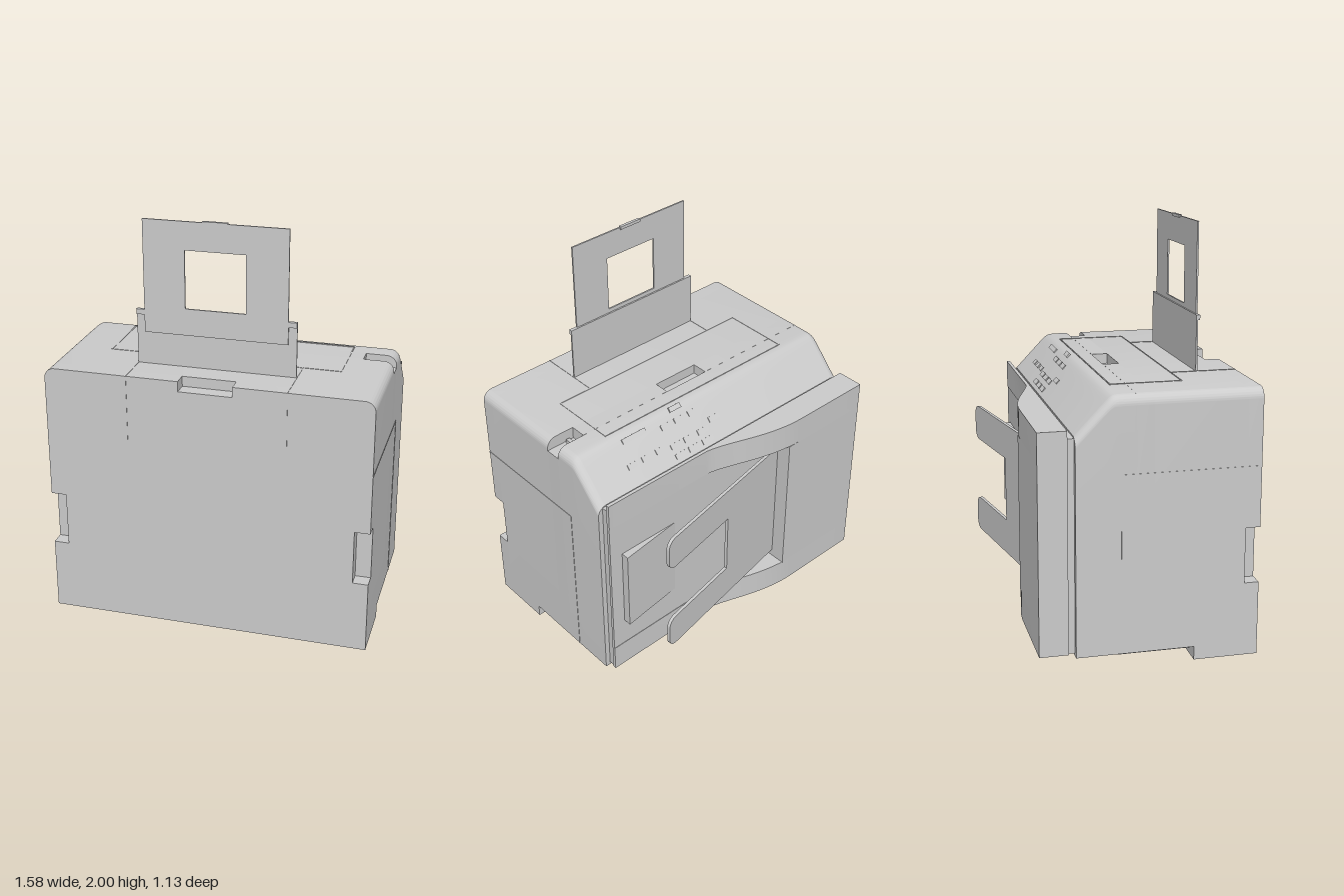
import * as THREE from 'three';
import { toCreasedNormals } from 'three/addons/utils/BufferGeometryUtils.js';

const grey = new THREE.MeshStandardMaterial({ color: 0xcccccc });
const W = 0.79, H = 1.29, R = 0.05;

export function createModel() {
  const model = new THREE.Group();

  const add = (name, geo, parent = model) => {
    const mesh = new THREE.Mesh(geo, grey);
    mesh.name = name;
    parent.add(mesh);
    return mesh;
  };
  // Box given by its limits on each axis
  const box = (name, x0, x1, y0, y1, z0, z1) => {
    const g = new THREE.BoxGeometry(x1 - x0, y1 - y0, z1 - z0);
    g.translate((x0 + x1) / 2, (y0 + y1) / 2, (z0 + z1) / 2);
    return add(name, g);
  };
  const polygon = pts => new THREE.Shape(pts.map(p => new THREE.Vector2(...p)));
  const extrude = (shape, depth, steps = 1) =>
    new THREE.ExtrudeGeometry(shape, { depth, steps, bevelEnabled: false, curveSegments: 16 });
  // Plan shape in (x, -z) raised from y0 to y1
  const raise = (name, shape, y0, y1) => {
    const g = extrude(shape, y1 - y0).rotateX(-Math.PI / 2).translate(0, y0, 0);
    return add(name, toCreasedNormals(g, 0.5));
  };

  // Front outline of the housing, with optional top pocket, corner notch and side grips
  const outline = ({ pocket = 0, portNotch = false, grips = false } = {}) => {
    const s = new THREE.Shape();
    const grip = [[W, 0.36], [0.715, 0.36], [0.715, 0.63], [W, 0.63]];
    s.moveTo(-W, 0.065);
    s.lineTo(W, 0.065);
    if (grips) grip.forEach(([x, y]) => s.lineTo(x, y));
    if (portNotch) {
      s.lineTo(W, 1.23);
      s.lineTo(0.64, 1.23);
      s.lineTo(0.64, H);
    } else {
      s.lineTo(W, H - R);
      s.absarc(W - R, H - R, R, 0, Math.PI / 2);
    }
    if (pocket) [[pocket, H], [pocket, 1.24], [-pocket, 1.24], [-pocket, H]].forEach(([x, y]) => s.lineTo(x, y));
    s.lineTo(R - W, H);
    s.absarc(R - W, H - R, R, Math.PI / 2, Math.PI);
    if (grips) [...grip].reverse().forEach(([x, y]) => s.lineTo(-x, y));
    s.closePath();
    return s;
  };

  // Housing in slices from front to back
  const slices = [
    ['housingFront', 0.49, 0.56, { pocket: 0.13, grips: true }],
    ['housingMiddle', 0.05, 0.49, {}],
    ['housingPocketSlice', -0.03, 0.05, { pocket: 0.125, portNotch: true }]
  ];
  for (const [name, z0, z1, opts] of slices) {
    add(name, toCreasedNormals(extrude(outline(opts), z1 - z0).translate(0, 0, z0), 0.6));
  }

  // Rear slice: the top edge bends down into the sloped control panel
  const rear = extrude(outline(), 0.282, 24).translate(0, 0, -0.312);
  const p = rear.attributes.position;
  for (let i = 0; i < p.count; i++) {
    const d = -0.14 - p.getZ(i);
    if (p.getY(i) > 1) p.setY(i, p.getY(i) - 0.53 * (d + Math.hypot(d, 0.015)));
  }
  add('housingRear', toCreasedNormals(rear, 0.5));

  // Underside
  box('baseStep', -W, W, 0, 0.065, 0.25, 0.56);
  box('basePanel', -0.72, 0.72, 0.03, 0.07, -0.1, 0.25);
  box('portSocket', 0.67, 0.69, 1.225, 1.25, 0, 0.04);

  // Thin seams around the covers
  const t = 0.002, e = 0.006;
  for (const s of [-1, 1]) {
    const side = s * W;
    box('sideCoverTopSeam', side - t, side + t, 0.92, 0.92 + e, -0.1, 0.56);
    box('sideCoverRearSeam', side - t, side + t, 0.066, 0.92, -0.1, -0.1 + e);
    box('frontSeam', s * 0.385 - 0.003, s * 0.385 + 0.003, 0.92, H, 0.56 - t, 0.56 + t);
    box('topSeam', s * 0.385 - 0.003, s * 0.385 + 0.003, H - t, H + t, 0.24, 0.56);
    box('topPanelSideSeam', s * 0.568 - 0.003, s * 0.568 + 0.003, H - t, H + t, -0.105, 0.24);
  }
  for (const z of [-0.105, 0.235]) box('topPanelSeam', -0.57, 0.57, H - t, H + t, z, z + e);

  // Raised paper support and its framed extension
  box('paperSupport', -0.385, 0.385, 1.28, 1.56, 0.362, 0.37);
  for (const s of [-1, 1]) box('supportTab', s * 0.365 - 0.02, s * 0.365 + 0.02, 1.535, 1.56, 0.362, 0.38);
  const frame = polygon([[-0.345, 1.45], [0.345, 1.45], [0.345, 1.995], [-0.345, 1.995]]);
  frame.holes.push(polygon([[-0.145, 1.58], [-0.145, 1.86], [0.145, 1.86], [0.145, 1.58]]));
  add('supportExtension', extrude(frame, 0.008).translate(0, 0, 0.371));
  box('extensionLip', -0.06, 0.06, 1.985, 2, 0.365, 0.38);

  // Buttons on the slope, as [x, z, width]
  const buttons = [[0.005, -0.235, 0.07], [0.18, -0.145, 0.07], [0.45, -0.165, 0.14]];
  for (const z of [-0.29, -0.255, -0.185]) for (const x of [0.095, 0.182, 0.265]) buttons.push([x, z, 0.07]);
  for (const x of [0.36, 0.445, 0.53]) buttons.push([x, -0.245, 0.05]);
  for (const [x, z, w] of buttons) {
    const b = add('button', new THREE.BoxGeometry(w, 0.008, 0.025));
    b.position.set(x, H - 1.06 * (-0.14 - z), z);
    b.rotation.x = -0.81;
  }

  // Scanner neck and lid with a recessed sheet pocket
  box('scannerNeck', -0.765, 0.765, 0.08, 1.1, -0.35, -0.3);
  const rim = new THREE.Shape();
  rim.moveTo(-0.78, 0.345);
  rim.lineTo(0.77, 0.345);
  rim.lineTo(0.77, 0.362);
  rim.lineTo(0.17, 0.362);
  rim.bezierCurveTo(0.04, 0.375, -0.13, 0.482, -0.35, 0.482);
  rim.lineTo(-0.78, 0.482);
  rim.closePath();
  raise('lidLowerRim', rim, 0.08, 0.22);
  raise('lidUpperRim', rim, 1.0, 1.14);
  box('feederCover', -0.78, -0.28, 0.22, 1.0, -0.482, -0.345);
  box('pocketFloor', -0.28, 0.77, 0.22, 1.0, -0.36, -0.345);
  raise('outputWedge', polygon([[0.33, 0.355], [0.7, 0.355], [0.7, 0.4]]), 0.37, 0.81);

  // Inclined sheet tray with two round-tipped prongs
  const tray = new THREE.Shape();
  const L = 0.885, N = 0.42, r = 0.05;
  tray.moveTo(0, 0.26);
  for (const [a, b] of [[0.26, 0.44], [0.77, 0.95]]) {
    tray.lineTo(a === 0.26 ? L - r : N, a);
    tray.lineTo(L - r, a);
    tray.absarc(L - r, a + r, r, -Math.PI / 2, 0);
    tray.absarc(L - r, b - r, r, 0, Math.PI / 2);
    tray.lineTo(a === 0.26 ? N : 0, b);
  }
  tray.closePath();
  const sheetTray = add('sheetTray', toCreasedNormals(extrude(tray, 0.016).translate(0, 0, -0.008), 0.5));
  sheetTray.position.set(-0.28, 0, -0.395);
  sheetTray.rotation.y = 0.186;

  return model;
}
